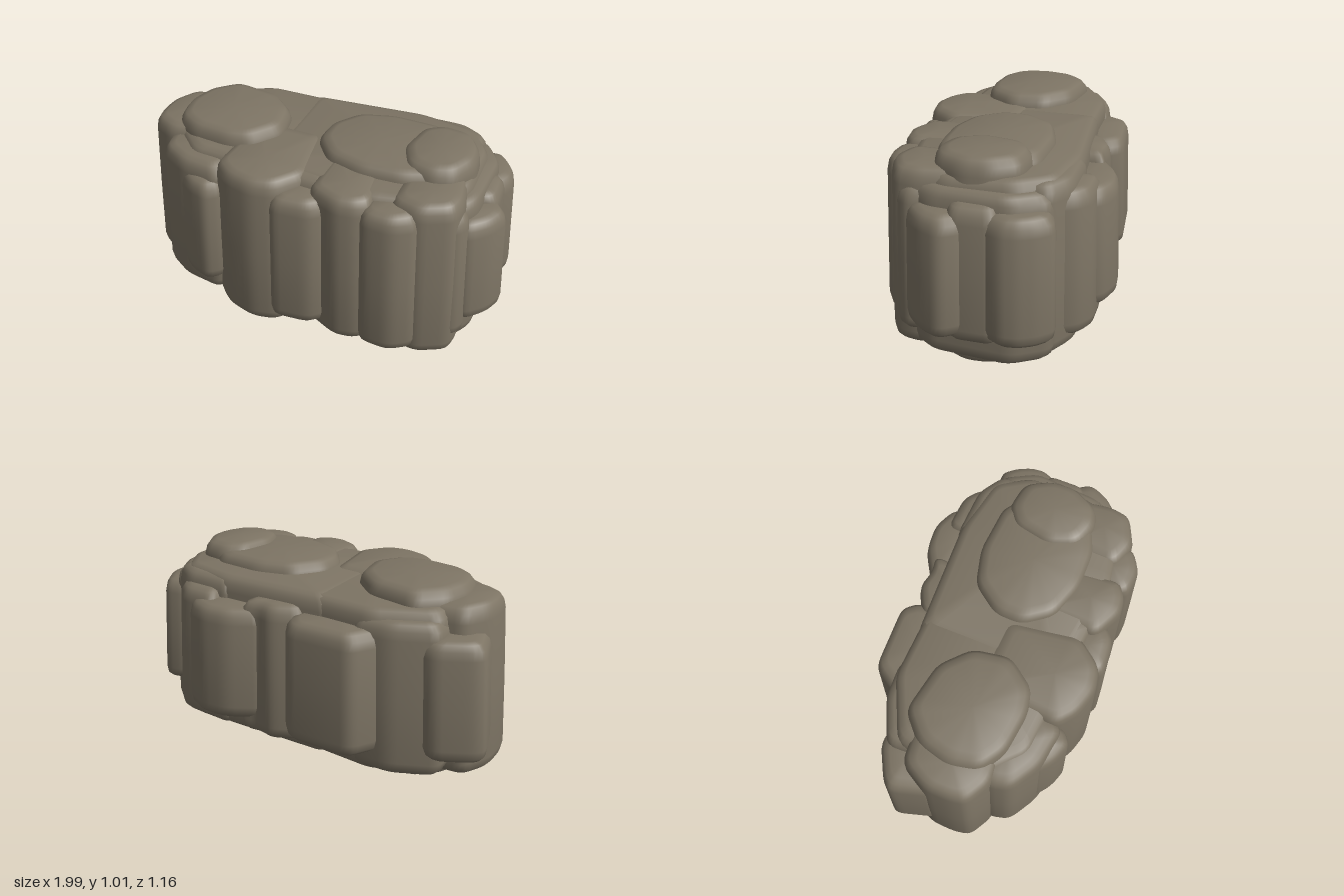
import * as THREE from 'three';
import { toCreasedNormals } from 'three/addons/utils/BufferGeometryUtils.js';

const stone = new THREE.MeshStandardMaterial({ color: 0x7d7464 });
stone.name = 'stone';

// Footprint corners (x, z pairs) turned into a closed ring with rounded corners
function roundedRing(flat) {
  const corners = [];
  for (let i = 0; i < flat.length; i += 2) corners.push(new THREE.Vector2(flat[i], flat[i + 1]));
  if (THREE.ShapeUtils.isClockWise(corners)) corners.reverse();
  const ring = [];
  corners.forEach((c, i) => {
    const trim = (other) => {
      const d = other.clone().sub(c);
      return c.clone().addScaledVector(d.normalize(), Math.min(0.05, c.distanceTo(other) * 0.35));
    };
    const from = trim(corners.at(i - 1));
    const to = trim(corners[(i + 1) % corners.length]);
    ring.push(...new THREE.QuadraticBezierCurve(from, c, to).getPoints(4));
  });
  return ring;
}

// One bevelled rock column; every column leans inwards towards the top
function column(y0, y1, footprint) {
  const ring = roundedRing(footprint);
  const count = ring.length;
  const mid = ring.reduce((s, p) => s.add(p), new THREE.Vector2()).divideScalar(count);
  const radius = ring.reduce((s, p) => s + p.distanceTo(mid), 0) / count;
  // inset from the outline, height
  const levels = [
    [0.07, y0], [0.032, y0 + 0.008], [0.009, y0 + 0.03], [0, y0 + 0.07],
    [0, (y0 + y1) / 2],
    [0, y1 - 0.08], [0.009, y1 - 0.04], [0.032, y1 - 0.012], [0.07, y1 - 0.002],
  ];
  const pos = [], idx = [];
  const add = (x, y, z) => {
    const lean = 1 - 0.085 * Math.max(0, y - 0.2);
    pos.push(x * lean, y, z * lean);
  };
  for (const [inset, y] of levels) {
    const s = 1 - inset / radius;
    for (const p of ring) add(mid.x + (p.x - mid.x) * s, y, mid.y + (p.y - mid.y) * s);
  }
  for (let j = 0; j < levels.length - 1; j++) {
    for (let i = 0; i < count; i++) {
      const a = j * count + i, c = j * count + ((i + 1) % count);
      idx.push(a, a + count, c, c, a + count, c + count);
    }
  }
  // end caps
  const bottom = pos.length / 3;
  add(mid.x, y0, mid.y);
  add(mid.x, y1, mid.y);
  const last = (levels.length - 1) * count;
  for (let i = 0; i < count; i++) {
    const n = (i + 1) % count;
    idx.push(bottom, i, n, bottom + 1, last + n, last + i);
  }
  const geo = new THREE.BufferGeometry();
  geo.setAttribute('position', new THREE.Float32BufferAttribute(pos, 3));
  geo.setIndex(idx);
  return toCreasedNormals(geo, 1.0);
}

// Each row: bottom height, top height, footprint corners
const parts = {
  // tall columns that form the top and foot
  crown: [
    [0.03, 1.0, [-0.82, 0.06, -0.78, -0.11, -0.65, -0.24, -0.38, -0.2, -0.23, -0.07, -0.19, 0.13, -0.3, 0.29, -0.43, 0.32, -0.65, 0.3, -0.78, 0.22]],
    [0.03, 0.985, [-0.01, -0.05, 0.1, -0.21, 0.3, -0.27, 0.58, -0.26, 0.76, -0.1, 0.74, 0.2, 0.53, 0.29, 0.3, 0.3, 0.1, 0.24, -0.01, 0.1]],
    [0.0, 1.015, [0.44, 0.05, 0.48, -0.16, 0.58, -0.23, 0.74, -0.21, 0.82, -0.08, 0.83, 0.06, 0.76, 0.21, 0.65, 0.25, 0.51, 0.21]],
  ],
  // broad body between them
  core: [
    [0.1, 0.93, [-0.82, 0.2, -0.6, 0.4, 0.2, 0.44, 0.3, 0, 0.2, -0.38, -0.5, -0.38, -0.8, -0.22]],
    [0.09, 0.935, [-0.25, 0.38, 0.4, 0.45, 0.72, 0.38, 0.84, 0.15, 0.84, -0.2, 0.72, -0.38, 0.4, -0.43, -0.25, -0.38]],
    [0.08, 0.89, [0.88, 0.2, 0.9, -0.2, 0.8, -0.37, 0.5, -0.35, 0.5, 0.3, 0.8, 0.33]],
  ],
  frontColumns: [
    [0.12, 0.9, [-0.81, 0.27, -0.78, 0.38, -0.62, 0.47, -0.4, 0.5, -0.3, 0.3, -0.5, 0, -0.75, 0.1]],
    [0.22, 0.83, [-0.64, 0.45, -0.55, 0.52, -0.44, 0.555, -0.37, 0.5, -0.36, 0.3, -0.62, 0.3]],
    [0.08, 0.945, [-0.42, 0.46, -0.32, 0.54, -0.17, 0.58, -0.04, 0.55, 0.07, 0.4, 0, 0, -0.4, 0]],
    [0.145, 0.885, [-0.1, 0.49, -0.05, 0.58, 0.14, 0.56, 0.21, 0.5, 0.17, 0.3, -0.05, 0.3]],
    [0.1, 0.94, [0.1, 0.47, 0.27, 0.545, 0.37, 0.53, 0.44, 0.48, 0.4, 0.1, 0.1, 0.1]],
    [0.11, 0.91, [0.38, 0.5, 0.42, 0.54, 0.56, 0.545, 0.67, 0.47, 0.62, 0.2, 0.4, 0.2]],
    [0.07, 0.95, [0.84, 0.28, 0.82, 0.39, 0.66, 0.47, 0.5, 0.42, 0.5, 0.1, 0.8, 0.05]],
  ],
  leftColumns: [
    [0.23, 0.81, [0.94, 0, 1.01, 0.1, 0.96, 0.22, 0.86, 0.32, 0.65, 0.25, 0.65, 0]],
    [0.2, 0.85, [0.95, 0.08, 0.945, -0.14, 0.6, -0.2, 0.6, 0.2]],
    [0.22, 0.825, [0.975, -0.17, 0.965, -0.25, 0.925, -0.33, 0.86, -0.4, 0.75, -0.37, 0.65, -0.2, 0.7, -0.05, 0.93, -0.07]],
    [0.16, 0.875, [0.87, 0.3, 0.83, 0.37, 0.68, 0.42, 0.55, 0.2, 0.8, 0.1]],
  ],
  rightColumns: [
    [0.08, 0.945, [-0.955, 0, -0.955, 0.13, -0.935, 0.22, -0.8, 0.29, -0.5, 0.25, -0.5, -0.2, -0.88, -0.15]],
    [0.22, 0.82, [-1.01, -0.17, -0.97, -0.22, -0.8, -0.32, -0.65, -0.28, -0.65, 0.03, -0.94, 0.04]],
    [0.12, 0.89, [-0.82, -0.27, -0.6, -0.385, -0.4, -0.4, -0.4, 0, -0.8, 0]],
  ],
  backColumns: [
    [0.22, 0.84, [-0.57, -0.34, -0.47, -0.515, -0.12, -0.54, -0.05, -0.46, -0.1, -0.1, -0.5, -0.1]],
    [0.15, 0.87, [-0.12, -0.42, 0.02, -0.5, 0.12, -0.48, 0.22, -0.5, 0.2, -0.1, -0.1, -0.1]],
    [0.23, 0.825, [0.09, -0.47, 0.25, -0.575, 0.4, -0.595, 0.52, -0.55, 0.57, -0.48, 0.5, -0.2, 0.15, -0.2]],
    [0.15, 0.865, [0.4, -0.52, 0.6, -0.515, 0.68, -0.46, 0.73, -0.37, 0.6, -0.1, 0.4, -0.1]],
    [0.09, 0.92, [0.35, -0.44, 0.65, -0.44, 0.8, -0.35, 0.75, 0, 0.4, 0]],
  ],
};

export function createModel() {
  const model = new THREE.Group();
  model.name = 'rock';
  for (const [name, rows] of Object.entries(parts)) {
    const group = new THREE.Group();
    group.name = name;
    rows.forEach((row, i) => {
      const mesh = new THREE.Mesh(column(...row), stone);
      mesh.name = `${name}${i + 1}`;
      group.add(mesh);
    });
    model.add(group);
  }
  return model;
}
